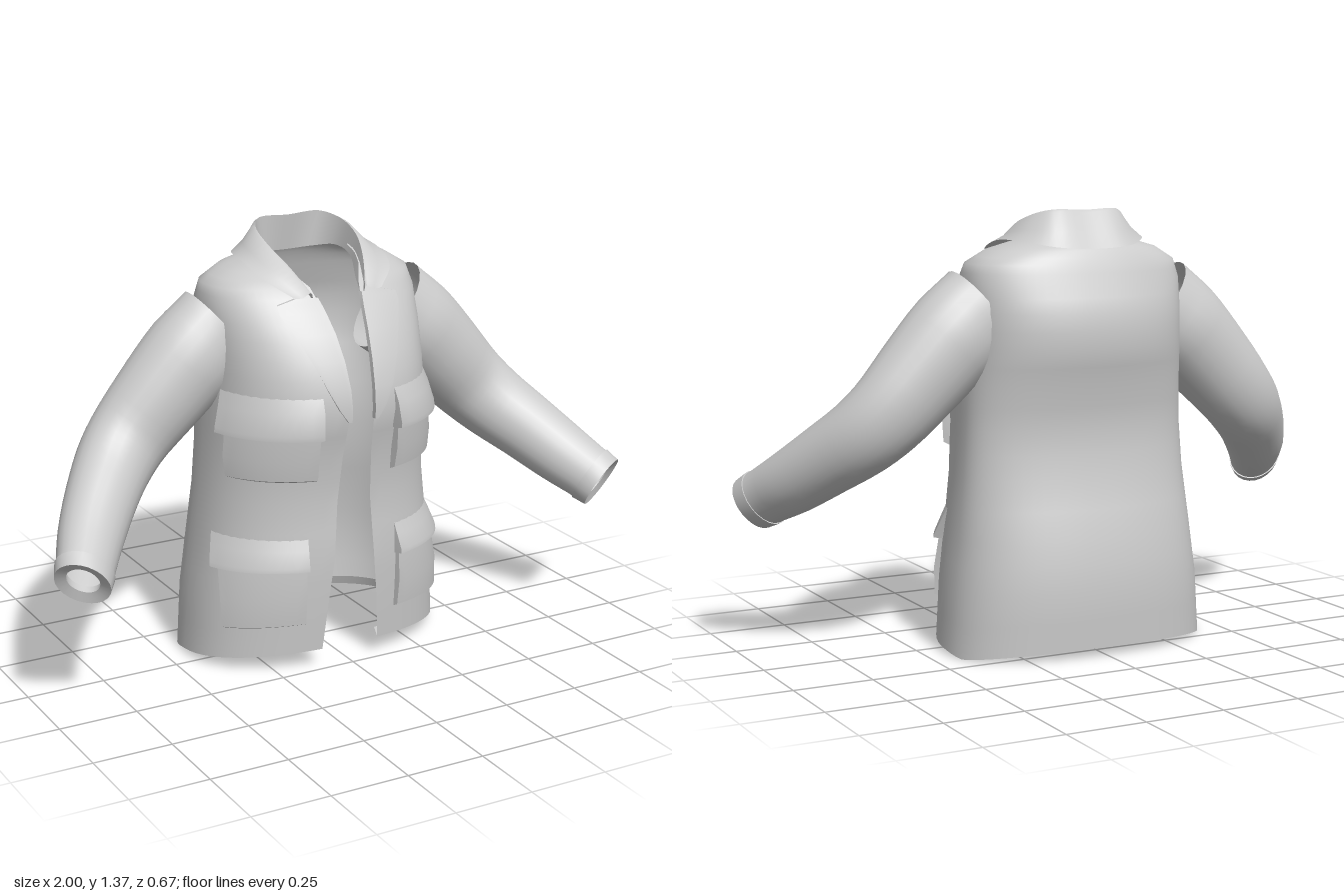
import * as THREE from 'three';
import { toCreasedNormals } from 'three/addons/utils/BufferGeometryUtils.js';

const cloth = new THREE.MeshStandardMaterial({ color: 0xcccccc, side: THREE.DoubleSide });
const lerp = THREE.MathUtils.lerp;

// Linear interpolation in rows of [key, ...values]
function sample(rows, k) {
  let i = 0;
  while (i < rows.length - 2 && k > rows[i + 1][0]) i++;
  const a = rows[i], b = rows[i + 1];
  const t = THREE.MathUtils.clamp((k - a[0]) / (b[0] - a[0]), 0, 1);
  return a.slice(1).map((v, j) => lerp(v, b[j + 1], t));
}

// Skin rows of points into one mesh
function skin(name, rows, { closed = false, crease = 0.8 } = {}) {
  const n = rows[0].length, index = [];
  for (let r = 0; r < rows.length - 1; r++) {
    for (let c = 0; c < (closed ? n : n - 1); c++) {
      const a = r * n + c, b = r * n + (c + 1) % n;
      index.push(a, b, b + n, a, b + n, a + n);
    }
  }
  const g = new THREE.BufferGeometry();
  g.setAttribute('position', new THREE.Float32BufferAttribute(rows.flat(2), 3));
  g.setIndex(index);
  const mesh = new THREE.Mesh(toCreasedNormals(g, crease), cloth);
  mesh.name = name;
  return mesh;
}

// Torso: y, half width, front z, back z, half gap of the front opening
const TORSO = [
  [0.00, 0.435, 0.235, -0.335, 0.10],
  [0.20, 0.42, 0.25, -0.343, 0.085],
  [0.36, 0.40, 0.258, -0.325, 0.07],
  [0.55, 0.38, 0.25, -0.28, 0.058],
  [0.70, 0.37, 0.268, -0.266, 0.05],
  [0.84, 0.365, 0.30, -0.288, 0.042],
  [0.95, 0.36, 0.285, -0.315, 0.045],
  [1.06, 0.36, 0.235, -0.312, 0.055],
  [1.15, 0.36, 0.17, -0.28, 0.07],
  [1.205, 0.345, 0.125, -0.26, 0.085],
  [1.245, 0.28, 0.07, -0.24, 0.12],
  [1.265, 0.21, 0.03, -0.22, 0.135],
  [1.28, 0.15, 0.00, -0.195, 0.138],
];
const P = 0.87, MID = -0.08;
const angleAt = (x, y) => Math.asin(Math.min(1, x / sample(TORSO, y)[0]) ** (1 / P));

// Point on the torso: angle 0 is the front centre, PI the back centre
function torso(y, a, off = 0, s = 1) {
  const [w, zf, zb] = sample(TORSO, y), c = Math.cos(a), sn = Math.max(0, Math.sin(a));
  const hem = c > -0.3 ? 0.06 * (c + 0.3) / 1.3 : 0.03 * (-c - 0.3) / 0.7;
  const depth = c > 0 ? zf - MID : MID - zb;
  return [
    s * (w * sn ** P + off * sn),
    y + hem * Math.max(0, 1 - y / 0.4),
    MID + Math.sign(c) * depth * Math.abs(c) ** P + off * c,
  ];
}

function makeTorso() {
  const ys = [];
  TORSO.forEach(([y], i) => {
    ys.push(y);
    if (i < TORSO.length - 1) ys.push((y + TORSO[i + 1][0]) / 2);
  });
  const ring = (y, off) => {
    const pts = [], a0 = angleAt(sample(TORSO, y)[3], y), n = 32;
    for (let i = 0; i <= n; i++) pts.push(torso(y, lerp(a0, Math.PI, i / n), off));
    return [...pts, ...pts.slice(0, n).reverse().map(([x, yy, z]) => [-x, yy, z])];
  };
  // first row is the hem folded inward
  return skin('coatBody', [ring(0.035, -0.015), ...ys.map(y => ring(y, 0))], { crease: 1.2 });
}

// Cloth patch on the torso; profile rows are [y, offset]
function patch(name, s, x0, x1, profile) {
  const rows = profile.map(([y, off], r) => {
    const a0 = angleAt(x0, y), a1 = angleAt(x1, y), pts = [torso(y, a0, -0.006, s)];
    for (let i = 0; i <= 10; i++) pts.push(torso(y, lerp(a0, a1, i / 10), off, s));
    return [...pts, torso(y, a1, -0.006, s)];
  });
  return skin(name, rows, { crease: 0.6 });
}

function makePocket(name, s, x0, x1, top, lip, bottom, bulge) {
  const g = new THREE.Group();
  g.name = name;
  g.add(patch('pocketFlap', s, x0 - 0.006, x1 + 0.006, [
    [top, -0.004], [lerp(top, lip, 0.4), bulge * 0.4], [lip + 0.015, bulge * 0.95],
    [lip, bulge], [lip - 0.004, bulge * 0.3],
  ]));
  g.add(patch('pocketBag', s, x0, x1, [
    [lip + 0.01, bulge * 0.4], [lerp(lip, bottom, 0.5), bulge * 0.65],
    [bottom + 0.012, bulge * 0.5], [bottom, -0.006],
  ]));
  return g;
}

// Lapel: y and outer edge x, ending at the notch
const LAPEL = [[0.82, 0.05], [0.86, 0.078], [0.92, 0.108], [1.0, 0.14], [1.08, 0.172], [1.14, 0.2], [1.165, 0.2], [1.18, 0.145]];
function makeLapel(s) {
  const rows = LAPEL.map(([y, outer]) => {
    const inner = sample(TORSO, y)[3] - 0.004, pts = [];
    for (let i = 0; i <= 6; i++) {
      pts.push(torso(y, angleAt(lerp(inner, outer, i / 6), y), 0.014, s));
    }
    return [torso(y, angleAt(inner, y), -0.002, s), ...pts, torso(y, angleAt(outer, y), -0.002, s)];
  });
  return skin('lapel', rows);
}

// Collar stations from back centre to front: stand foot, fold, outer edge
const COLLAR = [
  [[0, 1.25, -0.19], [0, 1.365, -0.172], [0, 1.25, -0.25]],
  [[0.09, 1.255, -0.175], [0.105, 1.368, -0.168], [0.13, 1.258, -0.238]],
  [[0.135, 1.265, -0.12], [0.148, 1.352, -0.11], [0.215, 1.275, -0.15]],
  [[0.14, 1.25, -0.03], [0.155, 1.318, -0.02], [0.235, 1.27, -0.03]],
  [[0.11, 1.2, 0.06], [0.13, 1.265, 0.07], [0.218, 1.232, 0.085]],
  [[0.085, 1.15, 0.15], [0.092, 1.19, 0.15], [0.15, 1.182, 0.15]],
];
function makeCollar() {
  const curves = [0, 1, 2].map(k => new THREE.CatmullRomCurve3([
    ...COLLAR.slice(1).reverse().map(c => new THREE.Vector3(-c[k][0], c[k][1], c[k][2])),
    ...COLLAR.map(c => new THREE.Vector3(...c[k])),
  ]));
  const rows = [];
  for (let i = 0; i <= 50; i++) {
    const [foot, fold, edge] = curves.map(c => c.getPoint(i / 50));
    // rounded roll at the fold, slightly bowed fall
    const roll = fold.clone().lerp(edge, 0.12).add(new THREE.Vector3(0, 0.006, 0));
    const fall = fold.clone().lerp(edge, 0.55).add(new THREE.Vector3(0, -0.004, 0));
    rows.push([foot, fold, roll, fall, edge].map(p => p.toArray()));
  }
  return skin('collar', rows, { crease: 1.0 });
}

// Sleeve: x, y, z of the centre, vertical radius, front radius
const SLEEVE = [
  [0.30, 1.06, -0.07, 0.16, 0.12],
  [0.40, 0.98, -0.07, 0.157, 0.135],
  [0.50, 0.88, -0.07, 0.147, 0.125],
  [0.61, 0.765, -0.065, 0.133, 0.11],
  [0.68, 0.695, -0.03, 0.125, 0.108],
  [0.76, 0.62, 0.05, 0.115, 0.10],
  [0.84, 0.54, 0.15, 0.105, 0.09],
  [0.89, 0.49, 0.23, 0.095, 0.08],
  [0.922, 0.458, 0.28, 0.092, 0.076],
];
function makeSleeve(s) {
  const curve = new THREE.CatmullRomCurve3(SLEEVE.map(k => new THREE.Vector3(k[0], k[1], k[2])));
  const radii = SLEEVE.map((k, i) => [i / (SLEEVE.length - 1), k[3], k[4]]);
  const ring = (t, scale = 1, back = 0) => {
    const T = curve.getTangent(t), c = curve.getPoint(t).addScaledVector(T, -back);
    const B = new THREE.Vector3(0, 0, 1).addScaledVector(T, -T.z).normalize();
    const N = new THREE.Vector3().crossVectors(B, T);
    const [rn, rb] = sample(radii, t);
    return Array.from({ length: 24 }, (_, i) => {
      const a = i / 24 * Math.PI * 2;
      const p = c.clone().addScaledVector(N, Math.cos(a) * rn * scale)
        .addScaledVector(B, Math.sin(a) * rb * scale);
      return [s * p.x, p.y, p.z];
    });
  };
  const g = new THREE.Group();
  g.name = s > 0 ? 'leftSleeve' : 'rightSleeve';
  const arm = [];
  for (let i = 0; i <= 24; i++) arm.push(ring(i / 24 * 0.95));
  g.add(skin('sleeveTube', arm, { closed: true, crease: 1.2 }));
  // turned cuff with its inner fold
  g.add(skin('cuff', [ring(0.91, 0.98), ring(0.91, 1.04), ring(1), ring(1, 0.6, 0.012), ring(0.93, 0.62)],
    { closed: true, crease: 0.6 }));
  return g;
}

export function createModel() {
  const model = new THREE.Group();
  model.name = 'jacket';
  model.add(makeTorso(), makeCollar());
  for (const s of [1, -1]) {
    const side = s > 0 ? 'left' : 'right';
    model.add(makeSleeve(s), makeLapel(s));
    model.add(makePocket(side + 'ChestPocket', s, 0.13, 0.345, 0.91, 0.775, 0.625, 0.038));
    model.add(makePocket(side + 'HipPocket', s, 0.16, 0.375, 0.45, 0.335, 0.11, 0.03));
  }
  return model;
}
